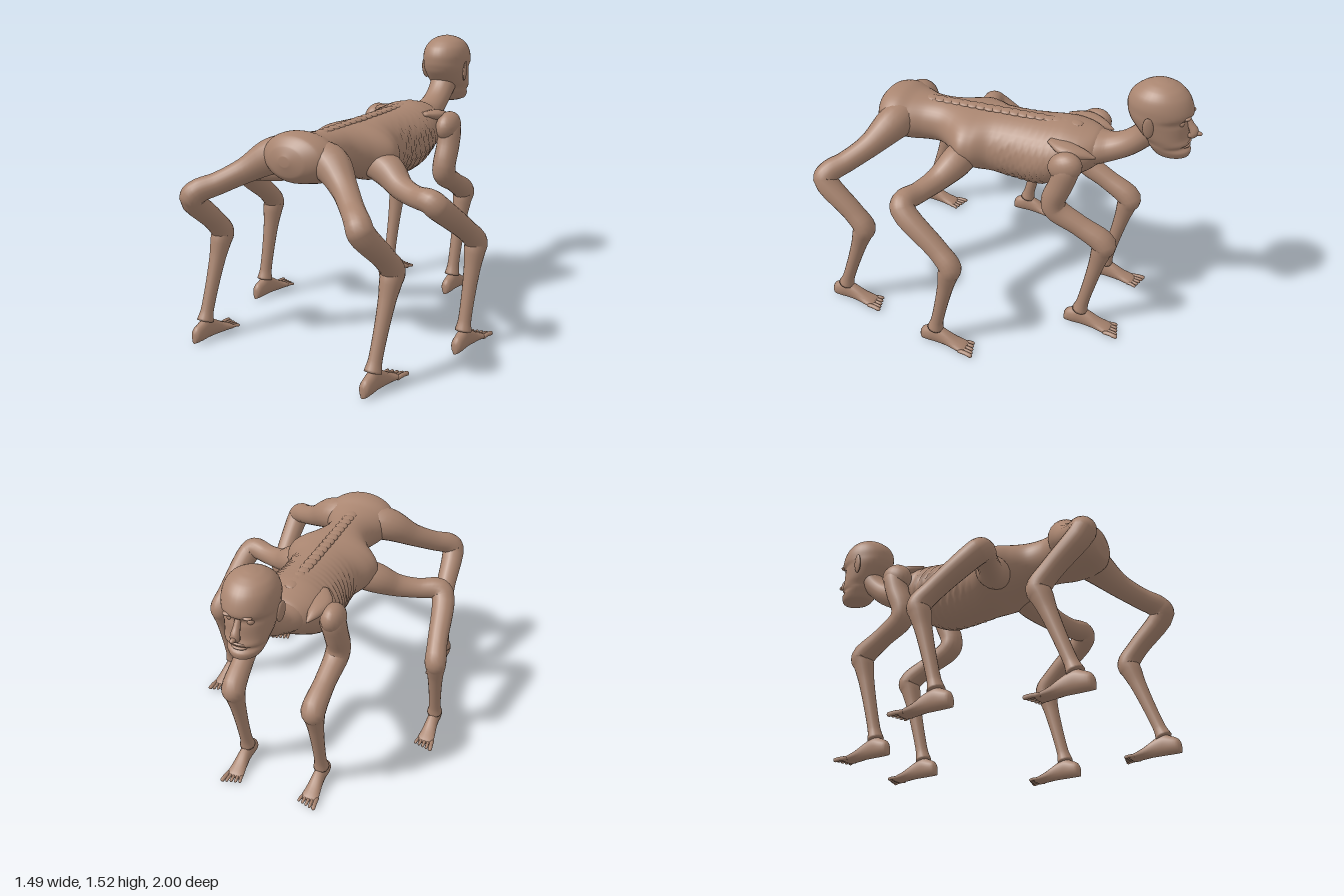
import * as THREE from 'three';

const skin = new THREE.MeshStandardMaterial({ color: 0xa98570 });
skin.name = 'tan skin';

// Smooth skin over cross-sections [x, y, z, radius along normal, radius across].
// With `axis` every section stays square to it; otherwise they follow the path.
function loft(name, rows, { normal = [1, 0, 0], axis = null, steps = 5, sides = 20, warp = null } = {}) {
  const path = new THREE.CatmullRomCurve3(rows.map((r) => new THREE.Vector3(r[0], r[1], r[2])));
  const size = new THREE.CatmullRomCurve3(
    rows.map((r) => new THREE.Vector3(r[3], r[4] ?? r[3], 0)), false, 'catmullrom', 0.5);
  const count = (rows.length - 1) * steps;
  const n = new THREE.Vector3(...normal), pos = [], index = [];
  for (let i = 0; i <= count; i++) {
    const u = i / count, c = path.getPoint(u), s = size.getPoint(u);
    const t = axis ? new THREE.Vector3(...axis) : path.getTangent(u);
    n.addScaledVector(t, -n.dot(t)).normalize();
    const b = new THREE.Vector3().crossVectors(t, n);
    for (let j = 0; j < sides; j++) {
      const a = (j / sides) * Math.PI * 2;
      const v = c.clone().addScaledVector(n, Math.cos(a) * Math.max(s.x, 0.002))
        .addScaledVector(b, Math.sin(a) * Math.max(s.y, 0.002));
      if (warp) warp(v, c);
      pos.push(v.x, v.y, v.z);
      if (i < count) {
        const p = i * sides + j, q = i * sides + (j + 1) % sides;
        index.push(p, q, p + sides, q, q + sides, p + sides);
      }
    }
  }
  // End caps
  for (const [u, base, flip] of [[0, 0, true], [1, count * sides, false]]) {
    const c = path.getPoint(u), k = pos.length / 3;
    pos.push(c.x, c.y, c.z);
    for (let j = 0; j < sides; j++) {
      const p = base + j, q = base + (j + 1) % sides;
      index.push(k, ...(flip ? [q, p] : [p, q]));
    }
  }
  const g = new THREE.BufferGeometry();
  g.setAttribute('position', new THREE.Float32BufferAttribute(pos, 3));
  g.setIndex(index);
  g.computeVertexNormals();
  const mesh = new THREE.Mesh(g, skin);
  mesh.name = name;
  return mesh;
}

function ball(name, [x, y, z], [rx, ry, rz], rot = [0, 0, 0]) {
  const m = new THREE.Mesh(new THREE.SphereGeometry(1, 20, 14), skin);
  m.position.set(x, y, z);
  m.scale.set(rx, ry, rz);
  m.rotation.set(...rot);
  m.name = name;
  return m;
}

// Torso rows: z, top, bottom, half width
const TORSO = [
  [0.835, 1.08, 1.03, 0.03], [0.815, 1.13, 0.97, 0.11], [0.77, 1.175, 0.935, 0.18], [0.69, 1.185, 0.915, 0.213],
  [0.61, 1.165, 0.9, 0.185], [0.52, 1.155, 0.9, 0.145], [0.43, 1.155, 0.9, 0.14], [0.35, 1.155, 0.88, 0.185],
  [0.26, 1.155, 0.85, 0.265], [0.19, 1.155, 0.825, 0.26], [0.1, 1.16, 0.805, 0.212], [-0.05, 1.165, 0.79, 0.203],
  [-0.18, 1.175, 0.795, 0.218], [-0.29, 1.185, 0.84, 0.215], [-0.38, 1.175, 0.9, 0.19], [-0.45, 1.16, 0.95, 0.14],
  [-0.5, 1.13, 1.0, 0.08],
];

// Slanted rib ridges on the flanks
function ribs(v, c) {
  const fade = THREE.MathUtils.smoothstep(0.15 - Math.abs(v.z + 0.1), -0.08, 0.06);
  const k = 1 + 0.08 * fade * (Math.abs(Math.sin((v.z - v.y * 0.35) * Math.PI / 0.042)) - 0.5);
  v.x *= k;
  if (v.y < c.y) v.y = c.y + (v.y - c.y) * (1 + (k - 1) * 0.4);
}

// Head rows: y, back z, face z, half width
const HEAD = [
  [1.118, -0.79, -0.925, 0.045], [1.13, -0.76, -0.943, 0.075], [1.16, -0.735, -0.947, 0.092],
  [1.185, -0.72, -0.925, 0.1], [1.205, -0.71, -0.943, 0.107], [1.24, -0.68, -0.93, 0.118],
  [1.3, -0.63, -0.925, 0.128], [1.335, -0.613, -0.918, 0.133], [1.365, -0.605, -0.943, 0.136],
  [1.41, -0.605, -0.935, 0.136], [1.455, -0.625, -0.912, 0.124], [1.49, -0.665, -0.875, 0.098],
  [1.512, -0.705, -0.83, 0.06], [1.522, -0.75, -0.79, 0.02],
];

// Upper legs run from the body to the knee: x, y, z, radius
const LEGS = {
  hind: { foot: [0.545, 0.87], upper: [
    [0.06, 1.05, 0.66, 0.1], [0.18, 1.035, 0.69, 0.097], [0.31, 0.955, 0.765, 0.068], [0.42, 0.89, 0.855, 0.06],
    [0.5, 0.85, 0.925, 0.064], [0.525, 0.815, 0.938, 0.066], [0.542, 0.65, 0.77, 0.058], [0.547, 0.565, 0.703, 0.062]] },
  middle: { foot: [0.68, 0.215], upper: [
    [0.1, 0.96, 0.24, 0.08], [0.24, 0.925, 0.27, 0.088], [0.36, 0.865, 0.33, 0.066], [0.48, 0.845, 0.38, 0.058],
    [0.585, 0.845, 0.415, 0.064], [0.62, 0.815, 0.4, 0.066], [0.665, 0.65, 0.185, 0.057], [0.683, 0.57, 0.107, 0.061]] },
  front: { foot: [0.23, -0.477], upper: [
    [0.235, 1.09, -0.37, 0.045], [0.245, 1.045, -0.37, 0.068], [0.255, 0.95, -0.345, 0.066], [0.255, 0.84, -0.305, 0.066],
    [0.25, 0.78, -0.315, 0.066], [0.24, 0.7, -0.45, 0.058], [0.232, 0.61, -0.592, 0.066]] },
};

// Shin shared by all legs: fraction from knee to ankle, radius
const SHIN = [[0.1, 0.057], [0.28, 0.045], [0.57, 0.037], [0.88, 0.035], [1, 0.045]];

function makeLimb(side, { upper, foot: [fx, fz] }) {
  const [kx, ky, kz] = upper[upper.length - 1], { lerp } = THREE.MathUtils;
  const shin = SHIN.map(([t, r]) => [lerp(kx, fx, t), lerp(ky, 0.105, t), lerp(kz, fz + 0.003, t), r]);
  return loft('limb', [...upper, ...shin].map(([x, y, z, r]) => [side * x, y, z, r]),
    { normal: [0, 0, 1], sides: 18 });
}

function makeFoot(side, [x, z]) {
  const foot = new THREE.Group();
  foot.name = 'foot';
  // Sole and instep: forward offset, top, half width
  const rows = [[0.095, 0.06, 0.012], [0.08, 0.085, 0.028], [0.04, 0.105, 0.034], [0, 0.12, 0.034],
    [-0.05, 0.1, 0.036], [-0.11, 0.062, 0.043], [-0.165, 0.035, 0.05], [-0.185, 0.024, 0.045]];
  foot.add(loft('instep', rows.map(([d, top, w]) => [0, top / 2, d, w, top / 2]),
    { axis: [0, 0, -1], steps: 3, sides: 14, warp: (v) => { v.y = Math.max(v.y, 0.004); } }));
  for (let i = 0; i < 5; i++) {
    const tx = side * (i - 2) * -0.022, len = 0.062 - i * 0.007, r = i ? 0.009 : 0.012;
    foot.add(loft('toe', [[tx * 0.9, 0.016, -0.155, r], [tx, 0.018, -0.165 - len * 0.5, r],
      [tx * 1.1, 0.013, -0.17 - len, r], [tx * 1.1, 0.011, -0.177 - len, r * 0.4]], { steps: 2, sides: 8 }));
  }
  foot.position.set(side * x, 0, z);
  return foot;
}

export function createModel() {
  const model = new THREE.Group();
  model.name = 'sixLeggedCreature';

  model.add(loft('torso', TORSO.map(([z, top, bot, w]) => [0, (top + bot) / 2, z, w, (top - bot) / 2]),
    { axis: [0, 0, -1], steps: 9, sides: 40, warp: ribs }));
  model.add(loft('neck', [[0, 1.05, -0.36, 0.13, 0.1], [0, 1.065, -0.46, 0.125, 0.09], [0, 1.085, -0.54, 0.09, 0.075],
    [0, 1.125, -0.62, 0.078, 0.068], [0, 1.185, -0.69, 0.078, 0.066], [0, 1.26, -0.75, 0.085, 0.075]]));
  // Low bumps of the backbone, overlapping into one ridge
  for (let i = 0; i < 18; i++) {
    model.add(ball('vertebra', [0, 1.147 + i * 0.0015, 0.52 - i * 0.05], [0.034, 0.014, 0.04]));
  }

  // Head
  const head = new THREE.Group();
  head.name = 'head';
  head.add(loft('skull', HEAD.map(([y, back, face, w]) => [0, y, (back + face) / 2, w, (back - face) / 2]),
    { axis: [0, 1, 0], steps: 4, sides: 32 }));
  head.add(loft('nose', [[0, 1.345, -0.915, 0.014, 0.012], [0, 1.305, -0.935, 0.018, 0.018],
    [0, 1.268, -0.955, 0.024, 0.024], [0, 1.25, -0.948, 0.022, 0.02], [0, 1.24, -0.925, 0.012, 0.01]], { sides: 12 }));
  head.add(ball('noseTip', [0, 1.262, -0.972], [0.014, 0.013, 0.027]));
  head.add(ball('upperLip', [0, 1.212, -0.922], [0.045, 0.01, 0.024]));
  head.add(ball('lowerLip', [0, 1.186, -0.919], [0.04, 0.009, 0.024]));
  model.add(head);

  for (const s of [1, -1]) {
    head.add(ball('eye', [s * 0.052, 1.33, -0.893], [0.02, 0.018, 0.02]));
    head.add(ball('brow', [s * 0.042, 1.364, -0.918], [0.034, 0.011, 0.022], [0, s * 0.35, 0]));
    head.add(ball('ear', [s * 0.138, 1.315, -0.75], [0.012, 0.06, 0.028], [0.1, s * 0.3, s * -0.12]));

    // Shoulder girdle
    model.add(ball('shoulder', [s * 0.246, 1.055, -0.36], [0.066, 0.08, 0.095], [0.4, 0, 0]));
    model.add(loft('shoulderBlade', [[s * 0.14, 1.13, -0.24, 0.03, 0.012], [s * 0.17, 1.115, -0.34, 0.06, 0.03],
      [s * 0.165, 1.1, -0.43, 0.035, 0.025], [s * 0.155, 1.085, -0.495, 0.004]], { sides: 12 }));

    for (const [name, spec] of Object.entries(LEGS)) {
      const leg = new THREE.Group();
      leg.name = name + 'Leg';
      leg.add(makeLimb(s, spec), makeFoot(s, spec.foot));
      model.add(leg);
    }
  }
  return model;
}
